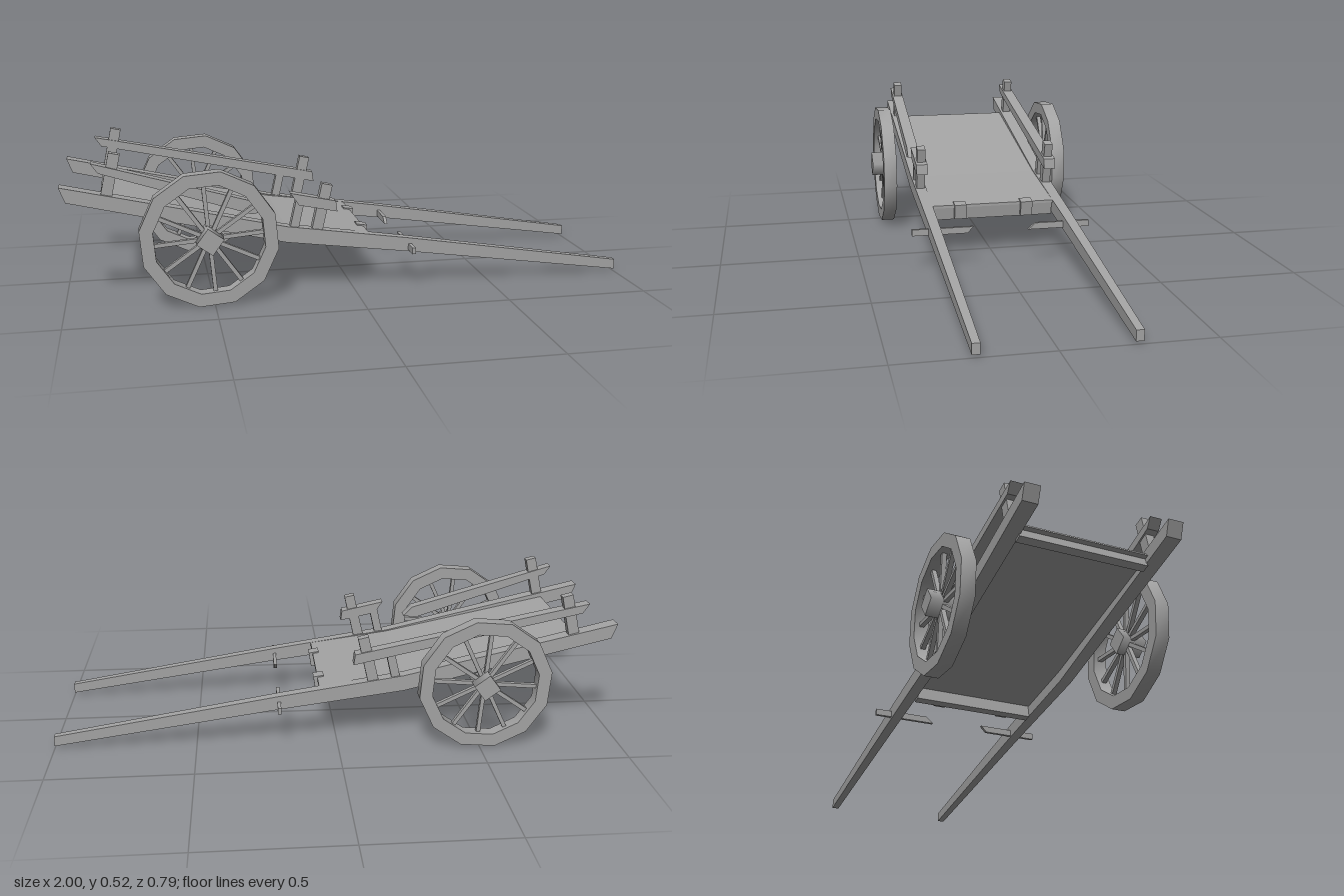
import * as THREE from 'three';
import { toCreasedNormals } from 'three/addons/utils/BufferGeometryUtils.js';

const wood = new THREE.MeshStandardMaterial({ color: 0xa3a3a3 });
wood.name = 'weatheredGrey';

export function createModel() {
  const model = new THREE.Group();
  model.name = 'handcart';

  const add = (name, geometry, parent = model) => {
    const mesh = new THREE.Mesh(geometry, wood);
    mesh.name = name;
    parent.add(mesh);
    return mesh;
  };

  // Side profile in x/y, extruded from z0 to z1
  const profile = (points, z0, z1) => {
    const shape = new THREE.Shape(points.map(p => new THREE.Vector2(...p)));
    return new THREE.ExtrudeGeometry(shape, { depth: z1 - z0, bevelEnabled: false, steps: 1 })
      .translate(0, 0, z0);
  };

  const box = (name, w, h, d, x, y, z, tilt = 0) => {
    const mesh = add(name, new THREE.BoxGeometry(w, h, d));
    mesh.position.set(x, y, z);
    mesh.rotation.z = tilt;
    return mesh;
  };

  // Sloping bed with cross beams and front pegs
  add('bed', profile([[-0.86, 0.367], [-0.87, 0.355], [-0.24, 0.226], [0.06, 0.187],
    [0.06, 0.197], [-0.24, 0.238]], -0.228, 0.228));
  box('frontCrossBeam', 0.03, 0.05, 0.45, 0.04, 0.168, 0, -0.15);
  box('rearCrossBeam', 0.03, 0.04, 0.45, -0.84, 0.34, 0, -0.22);
  for (const z of [-0.125, 0.125]) box('bedPeg', 0.038, 0.055, 0.044, 0.052, 0.175, z, -0.15);

  // Wheel: twelve-sided rim, spokes and a square hub
  const rimGeometry = () => {
    const ring = r => Array.from({ length: 12 }, (_, i) => {
      const a = THREE.MathUtils.degToRad(20 + i * 30);
      return new THREE.Vector2(Math.cos(a) * r, Math.sin(a) * r);
    });
    const shape = new THREE.Shape(ring(0.236));
    shape.holes.push(new THREE.Path(ring(0.19).reverse()));
    const g = new THREE.ExtrudeGeometry(shape, { depth: 0.05, bevelEnabled: false });
    return toCreasedNormals(g.translate(0, 0, -0.025), 0.7);
  };

  for (const side of [1, -1]) {
    // Long tapering shaft
    const shaft = profile([[-1, 0.415], [-0.98, 0.362], [-0.24, 0.185], [0.2, 0.127],
      [1, 0.012], [1, 0.048], [0.2, 0.177], [-0.24, 0.242]], -1, 1);
    const p = shaft.attributes.position;
    for (let i = 0; i < p.count; i++) {
      const half = THREE.MathUtils.mapLinear(p.getX(i), -1, 1, 0.027, 0.013);
      p.setZ(i, side * 0.247 + p.getZ(i) * half);
    }
    shaft.computeVertexNormals();
    add('shaft', shaft);

    // Rail posts, leaning with the slope
    const zc = side * 0.247;
    box('rearPost', 0.038, 0.17, 0.031, -0.833, 0.437, zc, -0.22);
    box('frontPost', 0.038, 0.17, 0.031, -0.113, 0.302, zc, -0.22);
    box('shortPost', 0.03, 0.12, 0.031, -0.2, 0.285, zc, -0.22);

    // Thin snapped crossbar between the shafts
    const bar = new THREE.Shape([[0.325, 0.133], [0.325, 0.156],
      side > 0 ? [0.103, 0.156] : [0.125, 0.156],
      side > 0 ? [0.125, 0.133] : [0.098, 0.133]].map(q => new THREE.Vector2(side * q[0], q[1])));
    add('brokenBar', new THREE.ExtrudeGeometry(bar, { depth: 0.012, bevelEnabled: false })
      .rotateY(-Math.PI / 2).translate(0.211, 0, 0));

    // Wheel assembly
    const wheel = new THREE.Group();
    wheel.name = side > 0 ? 'leftWheel' : 'rightWheel';
    wheel.position.set(-0.513, 0.235, side * 0.343);
    model.add(wheel);
    add('rim', rimGeometry(), wheel);
    const hub = add('hub', new THREE.CylinderGeometry(0.047, 0.047, 0.09, 4), wheel);
    hub.rotation.set(Math.PI / 2, 0.15, 0);
    hub.position.z = side * 0.007;
    for (let i = 0; i < 12; i++) {
      const a = THREE.MathUtils.degToRad(5 + i * 30);
      const spoke = add('spoke', new THREE.BoxGeometry(0.17, 0.014, 0.016), wheel);
      spoke.position.set(Math.cos(a) * 0.112, Math.sin(a) * 0.112, 0);
      spoke.rotation.z = a;
    }
  }

  // Whole rail on the right, broken rail in two pieces on the left
  add('rightRail', profile([[-0.893, 0.491], [-0.87, 0.457], [-0.06, 0.288], [-0.065, 0.326]],
    -0.269, -0.226));
  add('leftRailRear', profile([[-0.893, 0.491], [-0.87, 0.457], [-0.36, 0.293],
    [-0.31, 0.3], [-0.345, 0.335]], 0.226, 0.269));
  add('leftRailFront', profile([[-0.225, 0.36], [-0.195, 0.316], [-0.06, 0.288], [-0.065, 0.326]],
    0.226, 0.269));

  return model;
}
